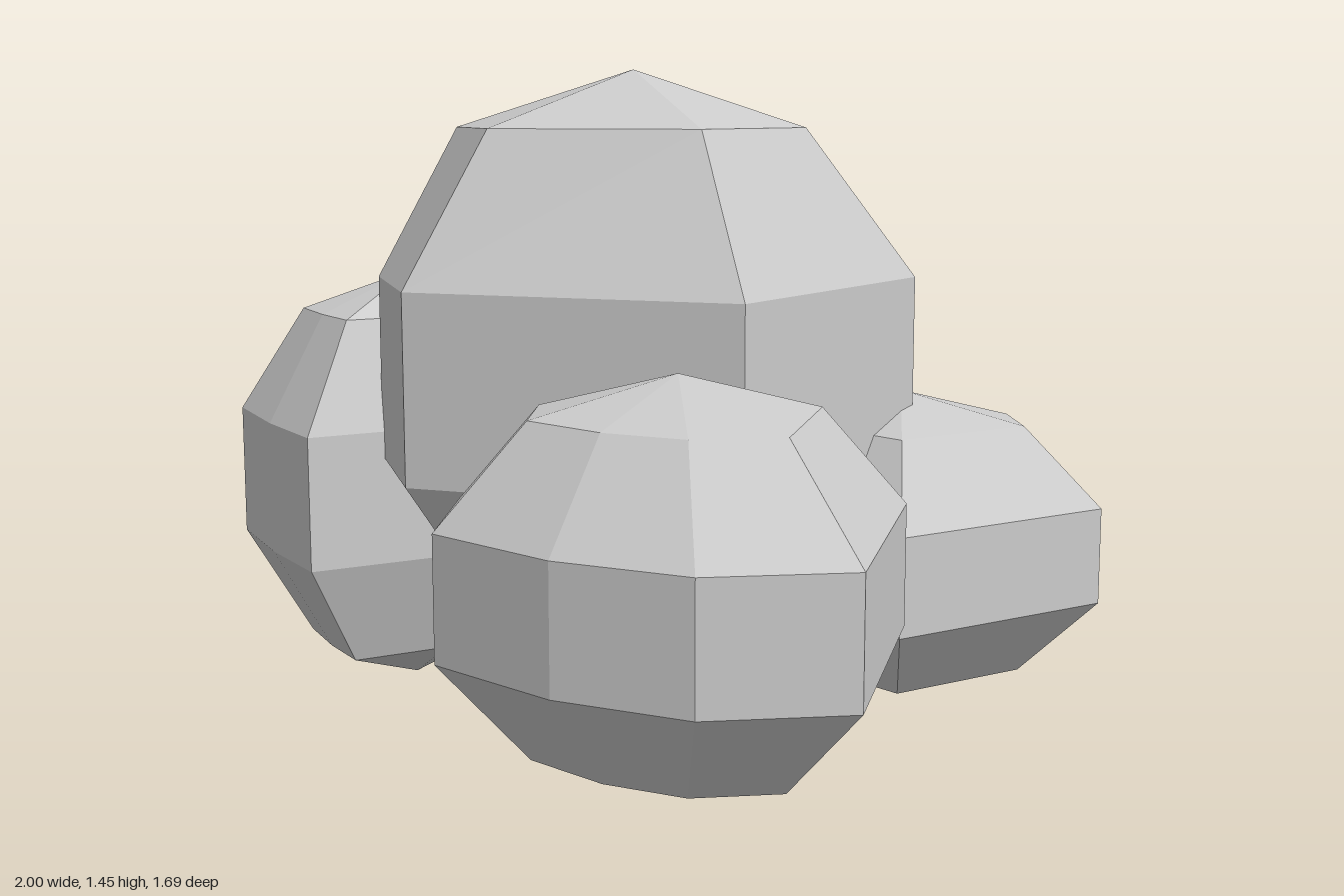
import * as THREE from 'three';

// Each boulder: pole position (x, z), bottom and top height, and its girth outline as [x, z] corners.
const BOULDERS = [
  { name: 'mainBoulder', pole: [-0.07, 0.05], bottom: 0.125, top: 1.45,
    girth: [[0.52, 0.28], [-0.12, 0.64], [-0.46, 0.47], [-0.67, -0.19], [-0.36, -0.42], [-0.02, -0.47], [0.36, -0.41]],
    crown: [[0.30, 0.19], [-0.10, 0.43], [-0.43, 0.27], [-0.42, -0.09], [-0.20, -0.25], [0.015, -0.30], [0.20, -0.22]] },
  { name: 'frontLeftBoulder', pole: [0.47, 0.41], bottom: 0.045, top: 0.865,
    girth: [[1.0, 0.46], [0.83, 0.70], [0.57, 0.81], [0.26, 0.84], [0.04, 0.62], [0.06, 0.20], [0.45, -0.02], [0.68, -0.02]] },
  { name: 'frontRightBoulder', pole: [-0.62, 0.28], bottom: 0, top: 0.985,
    girth: [[-0.38, 0.30], [-0.47, 0.66], [-0.70, 0.62], [-0.95, 0.55], [-1.0, 0.30], [-0.94, 0.05], [-0.78, -0.14], [-0.50, -0.10]] },
  { name: 'backLeftBoulder', pole: [0.29, -0.45], bottom: 0.025, top: 0.725,
    girth: [[0.60, -0.10], [0.10, -0.10], [-0.08, -0.50], [-0.03, -0.79], [0.24, -0.85], [0.49, -0.83], [0.71, -0.65]] },
  { name: 'backRightBoulder', pole: [-0.37, -0.36], bottom: 0.03, top: 0.58,
    girth: [[0.05, -0.10], [-0.30, 0.12], [-0.88, -0.20], [-0.88, -0.50], [-0.69, -0.74], [-0.40, -0.77], [-0.05, -0.77], [0.10, -0.45]] },
];

// Five-band faceted ball: two poles, two girth rings and two smaller rings near the poles.
function boulderGeometry({ pole: [px, pz], bottom, top, girth, crown }) {
  const n = girth.length;
  const midY = (top + bottom) / 2, ry = (top - bottom) / 2;
  const small = girth.map(([x, z]) => [px + (x - px) * 0.618, pz + (z - pz) * 0.618]);
  const rings = [[small, -0.809], [girth, -0.309], [girth, 0.309], [crown ?? small, 0.809]];

  const positions = [];
  for (const [ring, h] of rings) {
    for (const [x, z] of ring) positions.push(x, midY + ry * h, z);
  }
  positions.push(px, bottom, pz, px, top, pz);
  const south = 4 * n, north = south + 1;

  const index = [];
  for (let i = 0; i < n; i++) {
    const j = (i + 1) % n;
    index.push(south, i, j, north, 3 * n + j, 3 * n + i);
    for (let r = 0; r < 3; r++) {
      const a = r * n + i, b = r * n + j;
      index.push(a, a + n, b, b, a + n, b + n);
    }
  }
  const geometry = new THREE.BufferGeometry();
  geometry.setAttribute('position', new THREE.Float32BufferAttribute(positions, 3));
  geometry.setIndex(index);
  geometry.computeVertexNormals();
  return geometry;
}

export function createModel() {
  const group = new THREE.Group();
  group.name = 'boulderCluster';
  const stone = new THREE.MeshStandardMaterial({ color: 0xcccccc, flatShading: true });
  for (const boulder of BOULDERS) {
    const mesh = new THREE.Mesh(boulderGeometry(boulder), stone);
    mesh.name = boulder.name;
    group.add(mesh);
  }
  return group;
}
